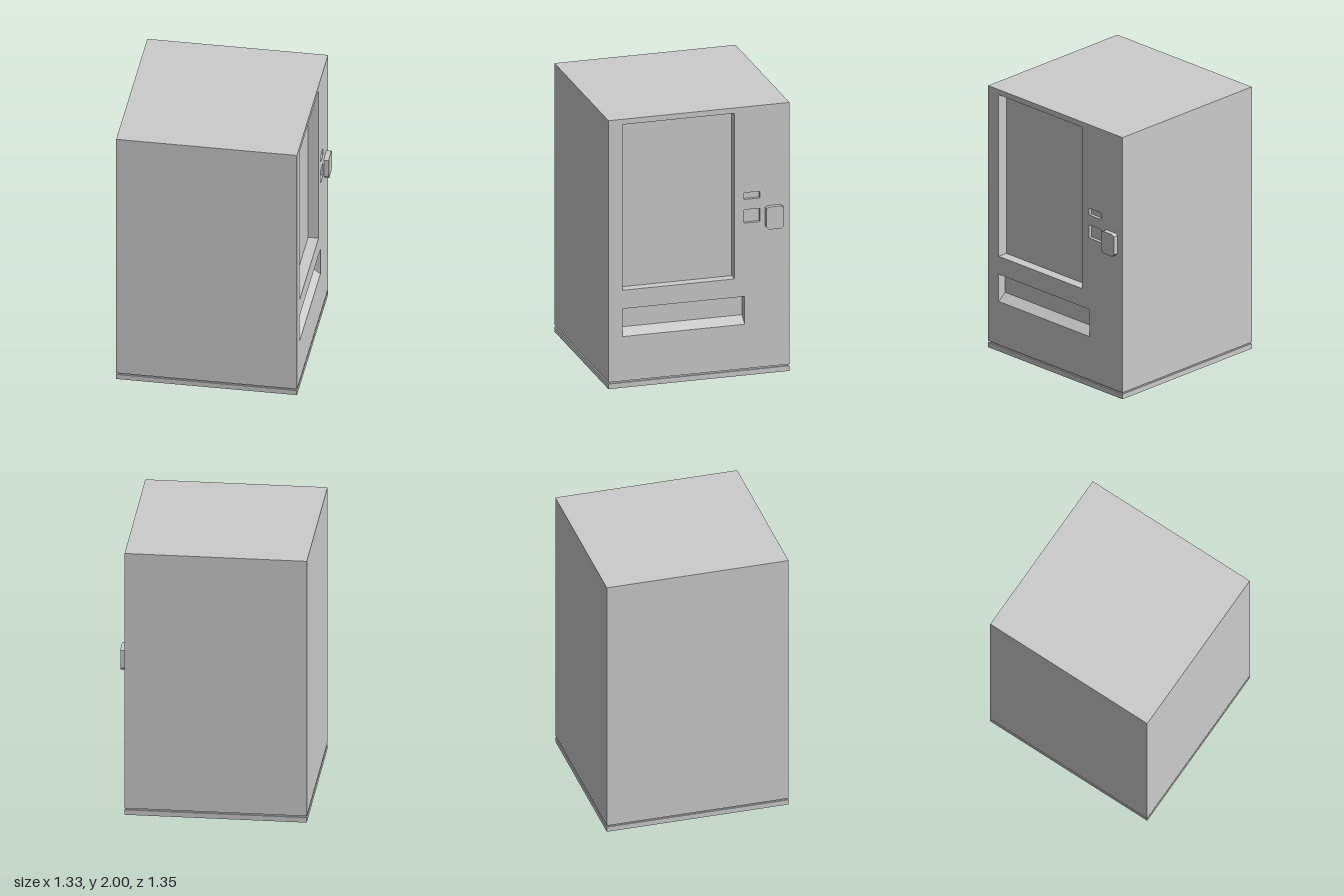
import * as THREE from 'three';

const W = 1.29, H = 2, D = 1.333;
const grey = new THREE.MeshStandardMaterial({ color: 0xcccccc, flatShading: true, side: THREE.DoubleSide });

// Flat-shaded mesh from four-cornered faces
function quadMesh(name, quads) {
  const pos = [];
  for (const [a, b, c, d] of quads) pos.push(...a, ...b, ...c, ...a, ...c, ...d);
  const g = new THREE.BufferGeometry();
  g.setAttribute('position', new THREE.Float32BufferAttribute(pos, 3));
  g.computeVertexNormals();
  return named(name, g);
}

function named(name, geometry) {
  const m = new THREE.Mesh(geometry, grey);
  m.name = name;
  return m;
}

// Corners of the cabinet's outline, counter-clockwise from below, starting at the +x side
function ring(inset, y) {
  const x = W / 2 - inset, z = D / 2 - inset;
  return [[x, y, z], [x, y, -z], [-x, y, -z], [-x, y, z]];
}

// Faces joining successive rings; side 0 is the service side (+x)
function ringFaces(levels, skipServiceSide = false) {
  const quads = [];
  for (let l = 0; l < levels.length - 1; l++) {
    const a = ring(...levels[l]), b = ring(...levels[l + 1]);
    for (let i = skipServiceSide ? 1 : 0; i < 4; i++) {
      const j = (i + 1) % 4;
      quads.push([a[i], a[j], b[j], b[i]]);
    }
  }
  return quads;
}

// Recesses in the service panel: u runs along the panel (-z), rise slopes the floor
const recesses = [
  { name: 'displayWindow', u0: -0.562, u1: 0.262, y0: 0.726, y1: 1.96, depth: 0.075, rise: 0 },
  { name: 'deliveryTray', u0: -0.562, u1: 0.336, y0: 0.381, y1: 0.588, depth: 0.065, rise: 0.05 },
  { name: 'coinSlot', u0: 0.331, u1: 0.45, y0: 1.31, y1: 1.36, depth: 0.025, rise: 0 },
  { name: 'keypadRecess', u0: 0.331, u1: 0.45, y0: 1.134, y1: 1.234, depth: 0.025, rise: 0 },
];

function outline(points, Type = THREE.Shape) {
  return new Type(points.map(p => new THREE.Vector2(p[0], p[1])));
}

function recessMesh({ name, u0, u1, y0, y1, depth, rise }) {
  const f = [[u0, y0, 0], [u1, y0, 0], [u1, y1, 0], [u0, y1, 0]];
  const b = [[u0, y0 + rise, -depth], [u1, y0 + rise, -depth], [u1, y1, -depth], [u0, y1, -depth]];
  const quads = f.map((p, i) => {
    const j = (i + 1) % 4;
    return [p, f[j], b[j], b[i]];
  });
  quads.push(b);
  return quadMesh(name, quads);
}

export function createModel() {
  const model = new THREE.Group();
  model.name = 'vendingMachine';
  const cabinet = new THREE.Group();
  cabinet.name = 'cabinet';
  // The cabinet stands a touch askew
  cabinet.rotation.y = 0.0128;
  cabinet.position.set(-0.011, 0, -0.003);
  model.add(cabinet);

  // Plain walls and roof, hollow and open below
  const walls = ringFaces([[0, 0.05], [0, H]], true);
  walls.push(ring(0, H));
  cabinet.add(quadMesh('walls', walls));

  // Base rim with a narrow groove above it
  cabinet.add(quadMesh('baseRim', ringFaces([[0.045, 0], [0, 0], [0, 0.038], [0.01, 0.038], [0.01, 0.05], [0, 0.05]])));

  // Service panel, built facing +z and turned to +x
  const panel = new THREE.Group();
  panel.name = 'servicePanel';
  panel.rotation.y = Math.PI / 2;
  panel.position.x = W / 2;
  cabinet.add(panel);
  const face = outline([[-D / 2, 0.05], [D / 2, 0.05], [D / 2, H], [-D / 2, H]]);
  for (const r of recesses) {
    face.holes.push(outline([[r.u0, r.y0], [r.u0, r.y1], [r.u1, r.y1], [r.u1, r.y0]], THREE.Path));
    panel.add(recessMesh(r));
  }
  panel.add(named('panelFace', new THREE.ShapeGeometry(face)));

  // Payment box with clipped corners
  const u0 = 0.486, u1 = 0.616, y0 = 1.08, y1 = 1.248;
  const box = outline([
    [u0 + 0.02, y0], [u1 - 0.02, y0], [u1, y0 + 0.02], [u1, y1 - 0.012],
    [u1 - 0.02, y1], [u0 + 0.02, y1], [u0, y1 - 0.012], [u0, y0 + 0.02],
  ]);
  panel.add(named('paymentBox', new THREE.ExtrudeGeometry(box, { depth: 0.035, bevelEnabled: false })));

  return model;
}
